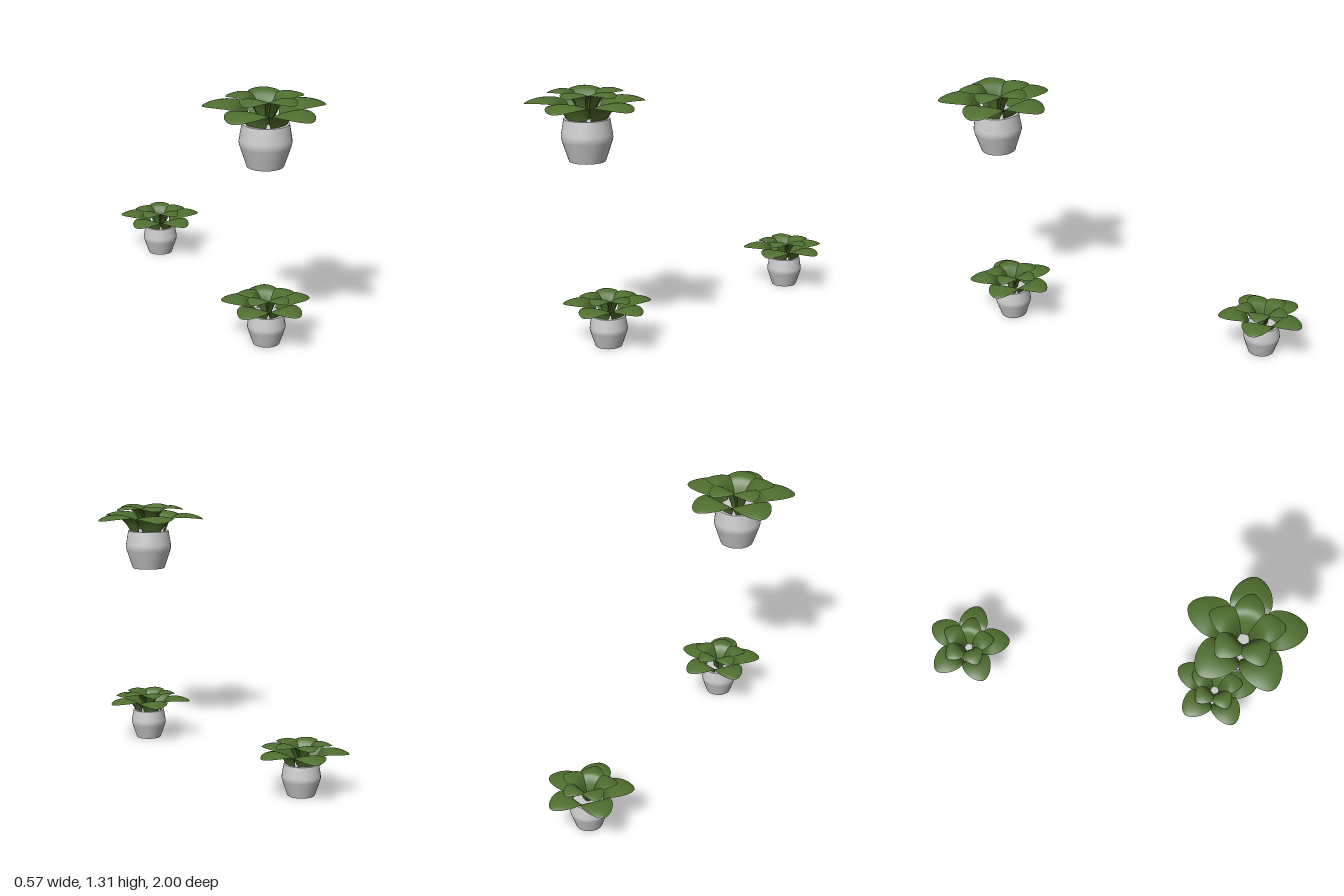
import * as THREE from 'three';

const potMat = new THREE.MeshStandardMaterial({ color: 0xcccccc });
const leafMat = new THREE.MeshStandardMaterial({ color: 0x4f6f2f, side: THREE.DoubleSide });

// Leaf stations from stem to tip: distance from the axis, height, half width
const OUTER = [
  [0.09, 0.195, 0.045], [0.098, 0.215, 0.052], [0.112, 0.25, 0.072], [0.138, 0.288, 0.094],
  [0.165, 0.304, 0.104], [0.2, 0.309, 0.102], [0.24, 0.305, 0.088], [0.275, 0.296, 0.064],
  [0.298, 0.286, 0.036], [0.306, 0.281, 0.02], [0.31, 0.277, 0],
];
const INNER = [
  [0.026, 0.2, 0.02], [0.034, 0.24, 0.028], [0.046, 0.28, 0.04], [0.062, 0.315, 0.055],
  [0.085, 0.342, 0.07], [0.11, 0.352, 0.075], [0.14, 0.352, 0.066], [0.168, 0.345, 0.046],
  [0.186, 0.338, 0.026], [0.193, 0.334, 0.014], [0.196, 0.331, 0],
];

// A grid bent along the stations, its edges drooping and its base wrapped round the axis
function leafGeometry(stations) {
  const curve = new THREE.CatmullRomCurve3(stations.map((s) => new THREE.Vector3(...s)));
  const geo = new THREE.PlaneGeometry(1, 1, 8, 30);
  const pos = geo.attributes.position;
  const p = new THREE.Vector3();
  for (let i = 0; i < pos.count; i++) {
    const u = pos.getX(i) * 2;
    const t = pos.getY(i) + 0.5;
    curve.getPoint(t, p);
    const w = Math.max(p.z, 0);
    const wrap = 0.18 * w * (1 - t);
    pos.setXYZ(i, p.x - wrap * u * u, p.y - 0.17 * w * u * u * Math.min(1, t * 2), u * w);
  }
  geo.computeVertexNormals();
  return geo;
}

// Pot: bulging wall with closed base and top
function createPot() {
  const pot = new THREE.Group();
  pot.name = 'pot';
  const profile = [[0.09, 0], [0.1235, 0.1], [0.1275, 0.117], [0.1265, 0.135], [0.114, 0.211]];
  const wall = new THREE.Mesh(
    new THREE.LatheGeometry(profile.map(([r, y]) => new THREE.Vector2(r, y)), 32), potMat);
  wall.name = 'potWall';
  pot.add(wall);
  for (const [name, r, y, tilt] of [['potBase', 0.09, 0, 1], ['potTop', 0.114, 0.211, -1]]) {
    const cap = new THREE.Mesh(new THREE.CircleGeometry(r, 32), potMat);
    cap.name = name;
    cap.rotation.x = tilt * Math.PI / 2;
    cap.position.y = y;
    pot.add(cap);
  }
  return pot;
}

// Plant: pot with two rings of five leaves
function createPlant(rings) {
  const plant = new THREE.Group();
  plant.add(createPot());
  for (const [name, geo] of rings) {
    for (let i = 0; i < 5; i++) {
      const leaf = new THREE.Mesh(geo, leafMat);
      leaf.name = name;
      leaf.rotation.y = (i * Math.PI * 2) / 5;
      plant.add(leaf);
    }
  }
  return plant;
}

export function createModel() {
  const model = new THREE.Group();
  model.name = 'pottedPlants';
  const rings = [['outerLeaf', leafGeometry(OUTER)], ['innerLeaf', leafGeometry(INNER)]];
  const places = [
    ['upperPlant', -0.025, 0.958, 0.704, 1],
    ['frontPlant', 0.026, 0, 0.628, 0.755],
    ['backPlant', -0.025, 0, -0.775, 0.755],
  ];
  for (const [name, x, y, z, scale] of places) {
    const plant = createPlant(rings);
    plant.name = name;
    plant.position.set(x, y, z);
    plant.scale.setScalar(scale);
    model.add(plant);
  }
  return model;
}
